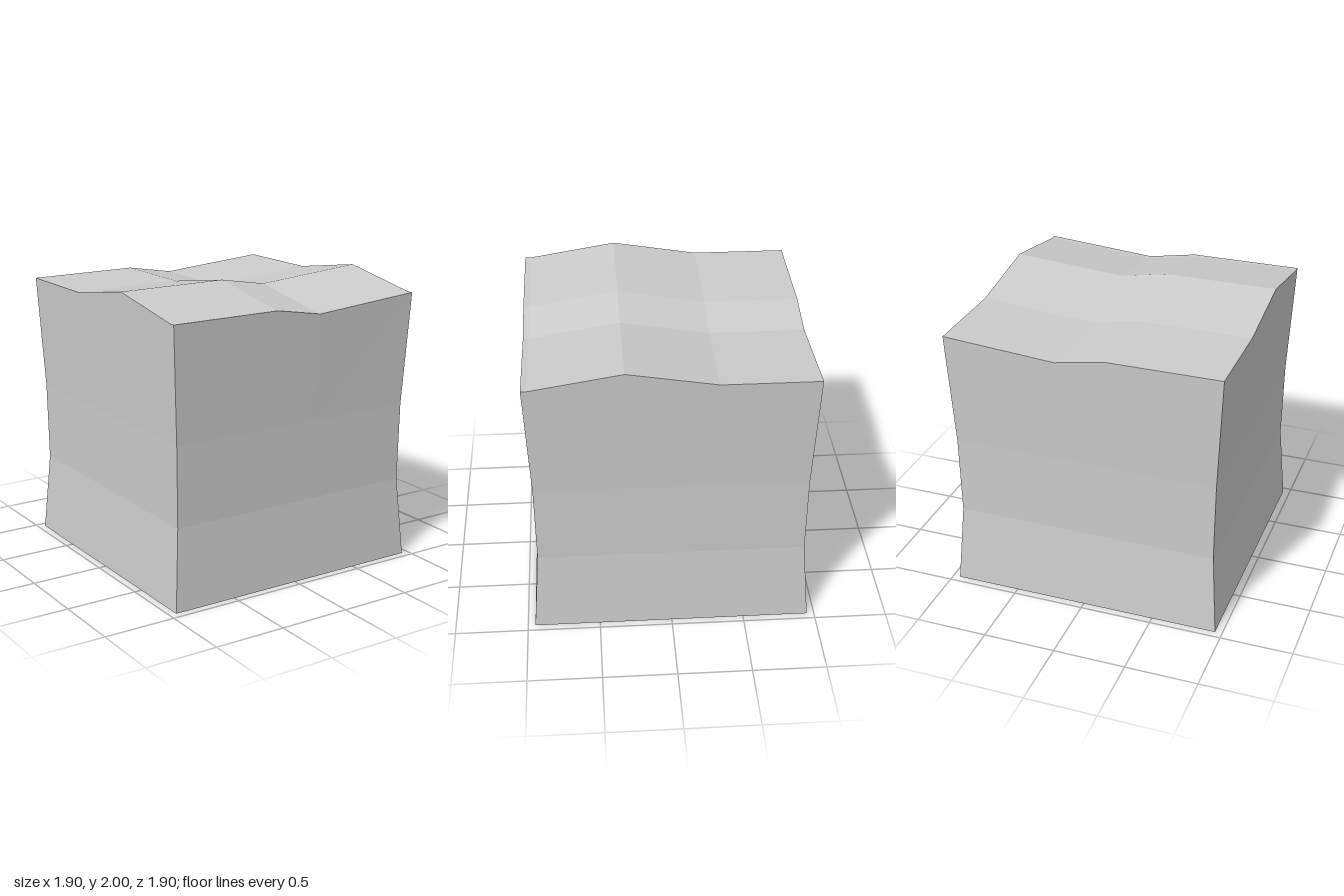
import * as THREE from 'three';

export function createModel() {
  const group = new THREE.Group();

  // Grid lines of the block along each axis
  const xs = [-0.95, -0.17, 0.17, 0.95];
  const zs = [-0.95, -0.3, 0.3, 0.91, 0.95];
  const levels = [0, 0.56, 1.11];
  const pinch = [1, 0.956, 0.962, 1]; // waisted walls

  // Top surface: a ridge running across x plus a shallow valley along z
  const ridge = [1.9, 1.9, 2, 1.9, 1.9];
  const valley = [0, 0, -0.06, 0];

  const geometry = new THREE.BoxGeometry(3, 3, 4, 3, 3, 4);
  const pos = geometry.attributes.position;
  for (let n = 0; n < pos.count; n++) {
    const i = Math.round(pos.getX(n) + 1.5);
    const j = Math.round(pos.getY(n) + 1.5);
    const k = Math.round(pos.getZ(n) + 2);
    const y = j === 3 ? ridge[k] + valley[i] : levels[j];
    pos.setXYZ(n, xs[i] * pinch[j], y, zs[k] * pinch[j]);
  }
  const faceted = geometry.toNonIndexed();
  faceted.computeVertexNormals();

  const block = new THREE.Mesh(
    faceted,
    new THREE.MeshStandardMaterial({ color: 0xcccccc, flatShading: true })
  );
  block.name = 'unevenBlock';
  group.add(block);
  return group;
}
